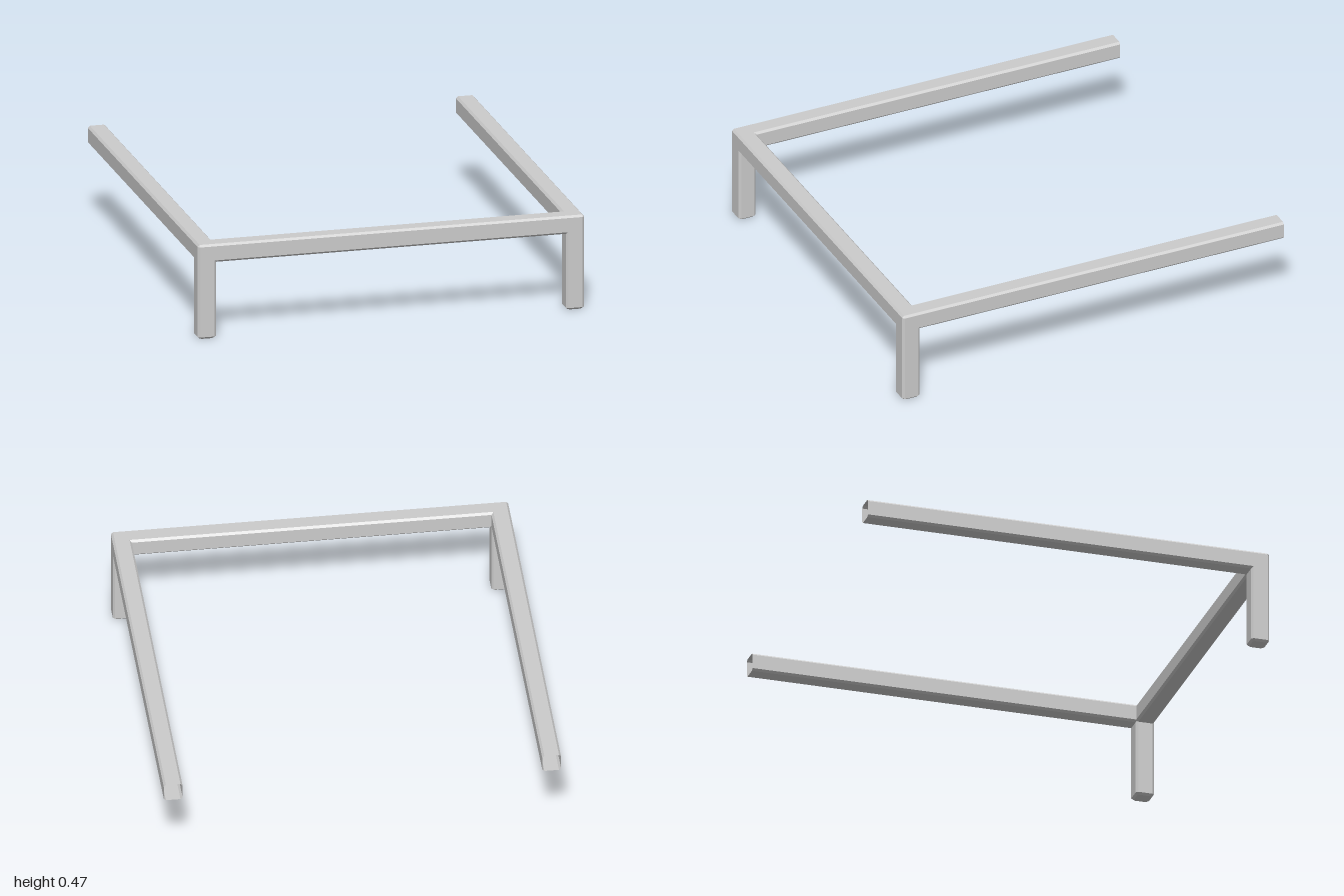
import * as THREE from 'three';

const W = 0.95;    // half width of the frame
const D = 1;       // half depth
const H = 0.467;   // overall height
const T = 0.09;    // beam thickness
const C = 0.01;    // edge chamfer

const material = new THREE.MeshStandardMaterial({ color: 0xcccccc, flatShading: true, side: THREE.DoubleSide });

// Square section with chamfered corners, counter-clockwise; scale 0 gives a closing point
function section(half) {
  if (half === 0) return Array.from({ length: 8 }, () => [0, 0]);
  const a = half, b = half - C;
  return [[a, -b], [a, b], [b, a], [-b, a], [-a, b], [-a, -b], [-b, -a], [b, -a]];
}

// Skin through sections along +z; each ring is [z, half size]
function loft(rings) {
  const positions = [], index = [];
  rings.forEach(([z, half]) => section(half).forEach(([x, y]) => positions.push(x, y, z)));
  for (let r = 0; r < rings.length - 1; r++) {
    for (let i = 0; i < 8; i++) {
      const j = (i + 1) % 8;
      const a = r * 8 + i, b = r * 8 + j, c = a + 8, d = b + 8;
      if (rings[r][1] > 0) index.push(a, b, d);
      if (rings[r + 1][1] > 0) index.push(a, d, c);
      else index.push(a, b, d);
    }
  }
  const geometry = new THREE.BufferGeometry();
  geometry.setAttribute('position', new THREE.Float32BufferAttribute(positions, 3));
  geometry.setIndex(index);
  geometry.computeVertexNormals();
  return geometry;
}

export function createModel() {
  const group = new THREE.Group();
  const h = T / 2;
  const add = (name, geometry, x, y, z) => {
    const mesh = new THREE.Mesh(geometry, material);
    mesh.name = name;
    mesh.position.set(x, y, z);
    group.add(mesh);
  };

  // Legs: closed posts running up through the front corners
  const leg = loft([[0, 0], [0, h - C], [C, h], [H - C, h], [H, h - C], [H, 0]]).rotateX(-Math.PI / 2);
  // Side rails: hollow tubes, open at the back
  const rail = loft([[-D, h], [D - C, h]]);
  // Front rail joins the two corners
  const front = loft([[-W + C, h], [W - C, h]]).rotateY(Math.PI / 2);

  for (const [side, s] of [['left', 1], ['right', -1]]) {
    add(side + 'Leg', leg, s * (W - h), 0, D - h);
    add(side + 'Rail', rail, s * (W - h), H - h, 0);
  }
  add('frontRail', front, 0, H - h, D - h);
  return group;
}
